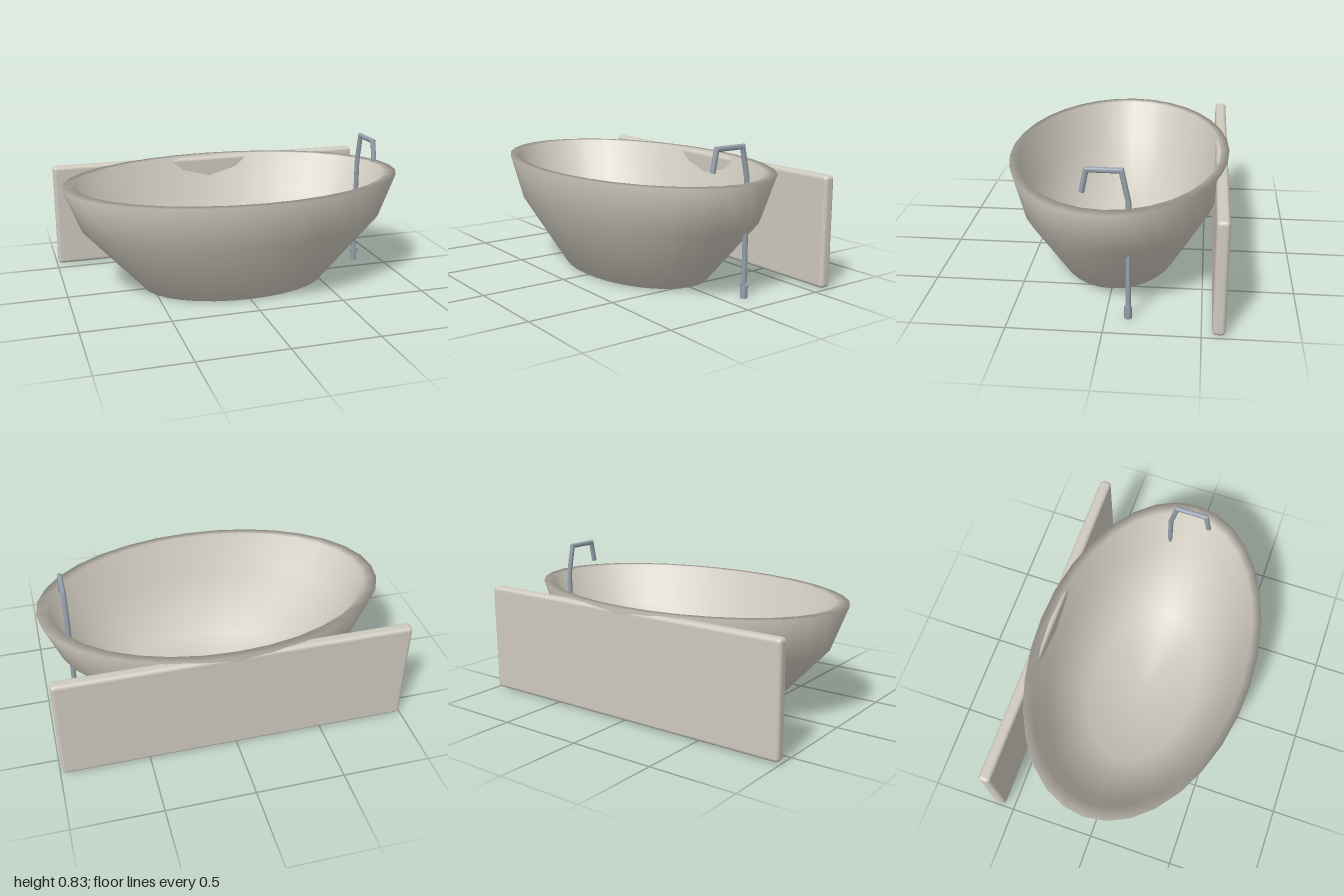
import * as THREE from 'three';
import { toCreasedNormals } from 'three/addons/utils/BufferGeometryUtils.js';
import { RoundedBoxGeometry } from 'three/addons/geometries/RoundedBoxGeometry.js';

const ceramic = new THREE.MeshStandardMaterial({ color: 0xcfcabf });
ceramic.name = 'warm white ceramic';
const metal = new THREE.MeshStandardMaterial({ color: 0x95a0ab });
metal.name = 'blue grey metal';

// Round pipe with mitred bends through [y, z] points in a plane of constant x
function mitredPipe(path, radius) {
  const pts = path.map(([y, z]) => new THREE.Vector3(0, y, z));
  const last = pts.length - 1;
  const dirs = pts.slice(1).map((p, i) => p.clone().sub(pts[i]).normalize());
  const geo = new THREE.CylinderGeometry(radius, radius, 1, 16, last);
  const pos = geo.attributes.position;
  for (let i = 0; i < pos.count; i++) {
    const k = Math.round((pos.getY(i) + 0.5) * last);
    const a = dirs[Math.max(k - 1, 0)], b = dirs[Math.min(k, last - 1)];
    const t = a.clone().add(b).normalize();
    const w = pos.getZ(i) / t.dot(a); // widen across the mitre
    pos.setXYZ(i, pos.getX(i), pts[k].y - t.z * w, pts[k].z + t.y * w);
  }
  return toCreasedNormals(geo, 0.7);
}

export function createModel() {
  const group = new THREE.Group();
  const add = (name, geometry, material, x, y, z, parent = group) => {
    const mesh = new THREE.Mesh(geometry, material);
    mesh.name = name;
    mesh.position.set(x, y, z);
    parent.add(mesh);
    return mesh;
  };

  // Oval tub: outside wall, rim, inside wall and floor in one profile
  const profile = [
    [0, 0], [0.42, 0.002], [0.55, 0.008], [0.9, 0.39], [1, 0.645],
    [0.925, 0.645], [0.84, 0.4], [0.52, 0.07], [0, 0.05],
  ].map(([r, y]) => new THREE.Vector2(r, y));
  const tub = new THREE.LatheGeometry(profile, 32);
  tub.scale(1, 1, 0.63);
  add('tub', tub, ceramic, 0, 0, 0);

  // Upright panel behind the tub
  add('backPanel', new RoundedBoxGeometry(1.985, 0.63, 0.067, 4, 0.022), ceramic, 0, 0.32, -0.587);

  // Floor-standing tap
  const tap = new THREE.Group();
  tap.name = 'tap';
  tap.position.set(0.84, 0, -0.118);
  group.add(tap);
  const path = [[0.05, 0], [0.655, 0], [0.82, 0.035], [0.82, 0.21], [0.7, 0.234]];
  add('spout', mitredPipe(path, 0.0145), metal, 0, 0, 0, tap);
  add('tapBase', toCreasedNormals(new THREE.CylinderGeometry(0.02, 0.02, 0.066, 16), 0.7), metal, 0, 0.033, 0, tap);
  const pin = toCreasedNormals(new THREE.CylinderGeometry(0.009, 0.009, 0.054, 12), 0.7);
  add('tapPin', pin.rotateZ(Math.PI / 2), metal, 0, 0.07, 0, tap);

  return group;
}
